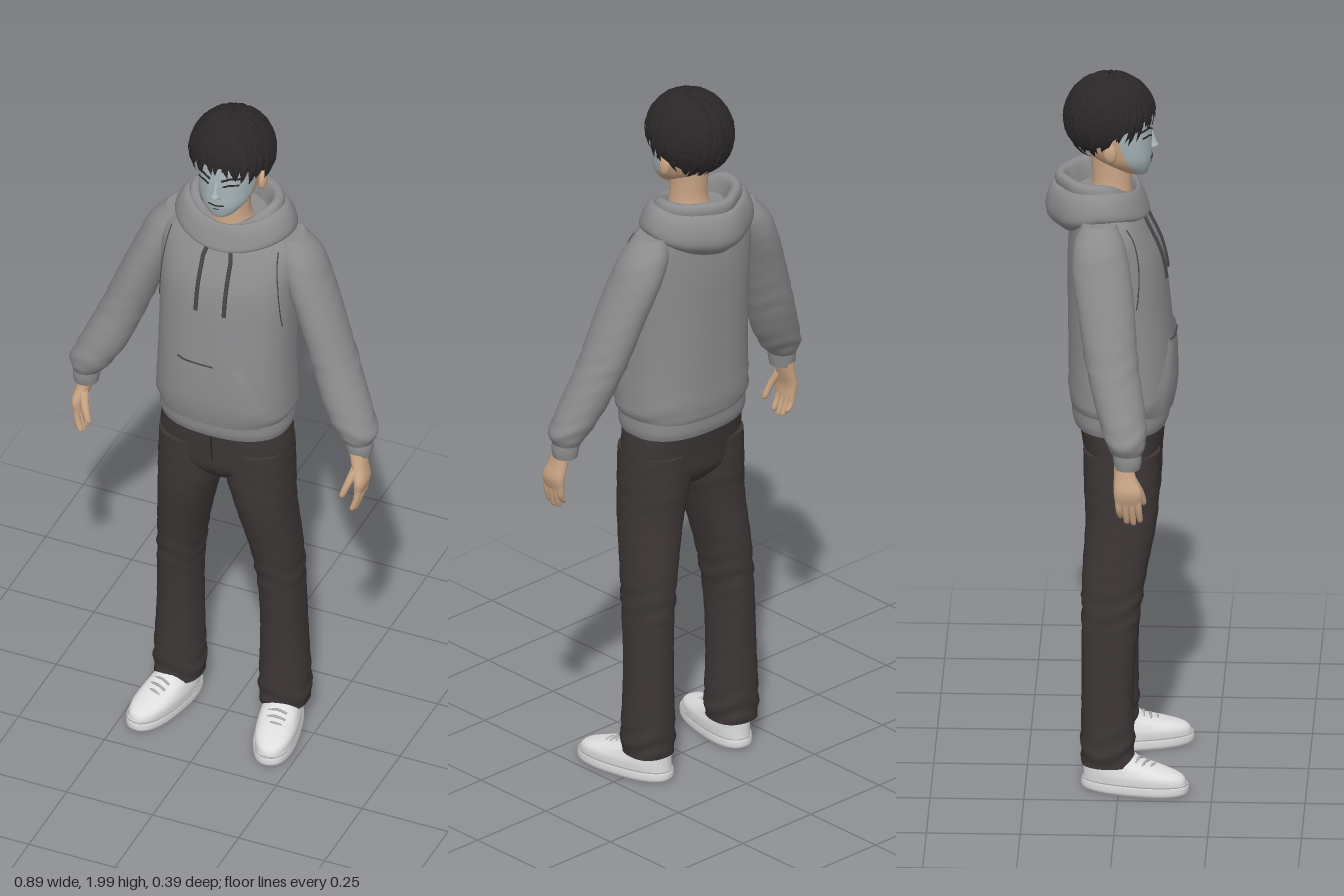
import * as THREE from 'three';
import { mergeGeometries } from 'three/addons/utils/BufferGeometryUtils.js';

const mat = (name, color, side = THREE.FrontSide) => Object.assign(new THREE.MeshStandardMaterial({ color, side }), { name });

// Smooth interpolation through cross-sections [x, y, z, rx, rz]
function refine(sections, steps) {
  const out = [], n = sections.length, at = i => sections[Math.min(n - 1, Math.max(0, i))];
  for (let i = 0; i < n - 1; i++) for (let k = 0; k < steps; k++) {
    const t = k / steps;
    out.push(at(i).map((b, c) => {
      const a = at(i - 1)[c], d = at(i + 1)[c], e = at(i + 2)[c];
      return b + 0.5 * t * (d - a + t * (2 * a - 5 * b + 4 * d - e + t * (3 * (b - d) + e - a)));
    }));
  }
  out.push(sections[n - 1]);
  return out;
}

// Closed skin over stacked oval rings; warp moves a vertex, pick chooses a material by angle and height
function loft(sections, { seg = 32, steps = 4, e = 2, cap = true, warp, pick } = {}) {
  const rows = refine(sections, steps), pos = [], buckets = [[], []];
  rows.forEach(([x, y, z, rx, rz], i) => {
    for (let j = 0; j < seg; j++) {
      const a = j / seg * Math.PI * 2, c = Math.cos(a), s = Math.sin(a);
      const p = new THREE.Vector3(Math.sign(c) * Math.abs(c) ** (2 / e) * rx, y, Math.sign(s) * Math.abs(s) ** (2 / e) * rz);
      if (warp) warp(p, a, i / (rows.length - 1));
      pos.push(p.x + x, p.y, p.z + z);
    }
  });
  for (let i = 0; i < rows.length - 1; i++) for (let j = 0; j < seg; j++) {
    const a = i * seg + j, b = i * seg + (j + 1) % seg;
    const g = pick ? pick((j + 0.5) / seg * Math.PI * 2, rows[i][1]) : 0;
    buckets[g].push(a, a + seg, b, b, a + seg, b + seg);
  }
  if (cap) [0, rows.length - 1].forEach((r, top) => {
    const start = pos.length / 3;
    pos.push(rows[r][0], rows[r][1], rows[r][2], ...pos.slice(r * seg * 3, (r + 1) * seg * 3));
    for (let j = 0; j < seg; j++) {
      const a = start + 1 + j, b = start + 1 + (j + 1) % seg;
      buckets[0].push(start, ...(top ? [b, a] : [a, b]));
    }
  });
  const g = new THREE.BufferGeometry();
  g.setAttribute('position', new THREE.Float32BufferAttribute(pos, 3));
  g.setIndex(buckets.flat());
  if (pick) { g.addGroup(0, buckets[0].length, 0); g.addGroup(buckets[0].length, buckets[1].length, 1); }
  g.computeVertexNormals();
  return g;
}

// Cloth folds: slanted ripples, strongest near the given heights
const folds = (amp, spots) => (p, a) => {
  const w = spots.reduce((m, [y, r]) => Math.max(m, Math.exp(-(((p.y - y) / r) ** 2))), 0.15);
  const k = 1 + amp * w * Math.sin(p.y * 110 + 2.2 * Math.sin(a * 2 + 1));
  p.x *= k; p.z *= k;
};

export function createModel() {
  const model = new THREE.Group();
  const cloth = mat('hoodie grey', 0x8c8c8e, THREE.DoubleSide), cord = mat('seam and cord grey', 0x48484a);
  const denim = mat('trouser charcoal', 0x3d3736), seam = mat('trouser seam', 0x2a2626);
  const skin = mat('skin', 0xcba686), face = mat('face pale blue grey', 0xa9b6ba);
  const dark = mat('hair black', 0x2b2728, THREE.DoubleSide);
  const white = mat('shoe white', 0xdedede), lace = mat('shoe trim', 0xaeaeae);
  const add = (name, geo, material, parent = model) => {
    const m = new THREE.Mesh(geo, material);
    m.name = name; parent.add(m);
    return m;
  };
  const tube = (pts, r, n = 16) => new THREE.TubeGeometry(new THREE.CatmullRomCurve3(pts), n, r, 6);
  const ray = new THREE.Raycaster();
  const onFront = (mesh, x, y, lift) => {
    ray.set(new THREE.Vector3(x, y, 1), new THREE.Vector3(0, 0, -1));
    const hit = ray.intersectObject(mesh)[0];
    return new THREE.Vector3(x, y, (hit ? hit.point.z : 0) + lift);
  };
  // Thin line laid on the front of a mesh through [x, y] points
  const line = (name, mesh, pts, r, material) => {
    const path = [];
    for (let i = 0; i < pts.length - 1; i++) for (let k = 0; k < 5; k++) {
      const t = k / 5, [a, b] = [pts[i], pts[i + 1]];
      path.push(onFront(mesh, a[0] + (b[0] - a[0]) * t, a[1] + (b[1] - a[1]) * t, r * 0.4));
    }
    path.push(onFront(mesh, ...pts[pts.length - 1], r * 0.4));
    return add(name, tube(path, r, path.length * 2), material);
  };

  // Hoodie body and hem
  const torso = add('hoodieBody', loft([
    [0, 1.05, 0, 0.178, 0.128], [0, 1.09, 0.002, 0.192, 0.141], [0, 1.2, 0.002, 0.188, 0.142], [0, 1.35, -0.006, 0.187, 0.136],
    [0, 1.48, -0.016, 0.19, 0.127], [0, 1.57, -0.032, 0.192, 0.105], [0, 1.62, -0.045, 0.165, 0.09], [0, 1.655, -0.05, 0.12, 0.075],
  ], { seg: 48, e: 2.4, warp: folds(0.012, [[1.1, 0.06]]) }), cloth);
  add('hoodieHem', loft([[0, 1.01, 0, 0.179, 0.124], [0, 1.03, 0, 0.184, 0.13], [0, 1.062, 0, 0.184, 0.132]], { seg: 48, e: 2.4 }), cloth);

  // Front pocket draped over the body
  const pos = [], idx = [], rows = [[1.06, 0.155], [1.09, 0.162], [1.125, 0.163], [1.16, 0.143], [1.2, 0.122], [1.23, 0.106], [1.262, 0.09]], cols = 14;
  rows.forEach(([y, w]) => {
    for (let j = 0; j <= cols; j++) pos.push(...onFront(torso, (j / cols * 2 - 1) * w, y, j % cols ? 0.007 : 0.001).toArray());
  });
  for (let i = 0; i < rows.length - 1; i++) for (let j = 0; j < cols; j++) {
    const a = i * (cols + 1) + j, b = a + cols + 1;
    idx.push(a, a + 1, b, b, a + 1, b + 1);
  }
  const pocket = new THREE.BufferGeometry();
  pocket.setAttribute('position', new THREE.Float32BufferAttribute(pos, 3));
  pocket.setIndex(idx);
  pocket.computeVertexNormals();
  const pocketMesh = add('frontPocket', pocket, cloth);
  line('pocketTopSeam', pocketMesh, [[-0.088, 1.26], [0.02, 1.26]], 0.0025, cord);

  // Hood: thick folded roll, low at the throat and drooping at the back
  const hoodWarp = (drop, droop) => (p, a, t) => {
    const s = Math.sin(a), f = Math.max(0, s) ** 2.5, k = Math.max(0, -s);
    p.y -= drop * f * Math.sin(Math.PI * Math.min(1, t * 1.1)) + droop * k * (1 - t);
    if (k > 0.9) p.z -= 0.12 * (k - 0.9);
  };
  add('hoodOuter', loft([
    [0, 1.6, -0.05, 0.135, 0.1], [0, 1.625, -0.055, 0.168, 0.13], [0, 1.66, -0.058, 0.163, 0.13],
    [0, 1.69, -0.058, 0.143, 0.116], [0, 1.685, -0.055, 0.118, 0.098], [0, 1.62, -0.05, 0.1, 0.08],
  ], { seg: 48, cap: false, warp: hoodWarp(0.045, 0.045) }), cloth);
  add('hoodInner', loft([
    [0, 1.65, -0.055, 0.125, 0.1], [0, 1.69, -0.06, 0.132, 0.105], [0, 1.71, -0.06, 0.122, 0.097],
    [0, 1.7, -0.055, 0.1, 0.08], [0, 1.62, -0.045, 0.085, 0.068],
  ], { seg: 48, cap: false, warp: hoodWarp(0.085, 0.0) }), cloth);
  for (const s of [-1, 1]) {
    line('drawstring', torso, [[s * 0.03, 1.61], [s * 0.04, 1.57], [s * 0.041, 1.5], [s * 0.041, 1.42]], 0.006, cord);
    line('armholeSeam', torso, [[s * 0.155, 1.6], [s * 0.168, 1.5], [s * 0.178, 1.38]], 0.0018, cord);
  }

  // Trousers
  add('trouserHips', loft([[0, 0.84, 0.005, 0.06, 0.07], [0, 0.88, 0.004, 0.165, 0.098], [0, 0.94, 0.004, 0.185, 0.105], [0, 1.03, 0, 0.177, 0.115]],
    { seg: 48, e: 2.4 }), denim);

  for (const s of [-1, 1]) {
    const m = list => list.map(([x, ...r]) => [x * s, ...r]);
    const side = new THREE.Group();
    side.name = s > 0 ? 'leftLimbs' : 'rightLimbs';
    model.add(side);
    add('trouserLeg', loft(m([
      [0.153, 0.075, -0.03, 0.066, 0.069], [0.153, 0.13, -0.03, 0.069, 0.072], [0.151, 0.3, -0.03, 0.062, 0.07], [0.147, 0.46, -0.024, 0.06, 0.076],
      [0.135, 0.6, -0.014, 0.066, 0.085], [0.112, 0.75, 0.004, 0.079, 0.095], [0.098, 0.85, 0.005, 0.091, 0.101], [0.096, 0.95, 0.005, 0.089, 0.102],
    ]), { steps: 8, e: 2.2, warp: folds(0.045, [[0.13, 0.06], [0.52, 0.06]]) }), denim, side);

    // Sleeve and cuff
    add('sleeve', loft(m([
      [0.395, 1.055, 0.03, 0.038, 0.04], [0.385, 1.09, 0.027, 0.058, 0.055], [0.35, 1.16, 0.012, 0.065, 0.065], [0.305, 1.27, -0.012, 0.063, 0.07],
      [0.256, 1.4, -0.03, 0.062, 0.076], [0.215, 1.5, -0.045, 0.062, 0.078], [0.185, 1.57, -0.052, 0.06, 0.068], [0.16, 1.62, -0.052, 0.038, 0.045],
    ]), { steps: 6, warp: folds(0.035, [[1.1, 0.04], [1.28, 0.05]]) }), cloth, side);
    add('cuff', loft(m([[0.398, 1.015, 0.032, 0.033, 0.034], [0.397, 1.04, 0.032, 0.037, 0.038], [0.392, 1.075, 0.03, 0.037, 0.038]])), cloth, side);

    // Hand with four fingers and a thumb
    const hand = new THREE.Group();
    hand.name = 'hand'; hand.position.z = s * 0.012; side.add(hand);
    add('palm', loft(m([[0.412, 0.915, 0.046, 0.013, 0.034], [0.416, 0.95, 0.046, 0.018, 0.038], [0.406, 0.99, 0.038, 0.02, 0.03], [0.397, 1.03, 0.032, 0.023, 0.024]]),
      { seg: 20, e: 2.3 }), skin, hand);
    for (let i = 0; i < 4; i++) {
      const z = 0.02 + i * 0.0175, tip = [0.872, 0.856, 0.852, 0.86][i];
      add('finger', loft(m([[0.399, tip, z + 0.006, 0.003, 0.003], [0.402, tip + 0.008, z + 0.005, 0.008, 0.008], [0.412, 0.9, z + 0.002, 0.009, 0.009], [0.414, 0.93, z, 0.01, 0.01]]),
        { seg: 10 }), skin, hand);
    }
    add('thumb', loft(m([[0.374, 0.9, 0.086, 0.003, 0.003], [0.376, 0.91, 0.085, 0.009, 0.009], [0.388, 0.945, 0.076, 0.011, 0.011], [0.402, 0.985, 0.056, 0.014, 0.014]]),
      { seg: 10 }), skin, hand);

    // Shoe, toes turned outward
    const shoe = new THREE.Group();
    shoe.name = 'shoe'; shoe.position.set(s * 0.15, 0, -0.03); shoe.rotation.y = s * 0.21; side.add(shoe);
    add('sole', loft([[0, 0, 0.075, 0.055, 0.139], [0, 0.008, 0.075, 0.059, 0.146], [0, 0.026, 0.075, 0.059, 0.146], [0, 0.03, 0.075, 0.055, 0.141]], { e: 2.4 }), white, shoe);
    add('soleLine', loft([[0, 0.026, 0.075, 0.0585, 0.145], [0, 0.03, 0.075, 0.0585, 0.145]], { e: 2.4, steps: 1 }), lace, shoe);
    add('upper', loft([[0, 0.025, 0.074, 0.055, 0.141], [0, 0.048, 0.07, 0.056, 0.136], [0, 0.066, 0.047, 0.052, 0.113], [0, 0.085, 0.014, 0.048, 0.08], [0, 0.115, -0.004, 0.043, 0.063]], { e: 2.3 }), white, shoe);
    for (let i = 0; i < 4; i++) {
      const z = 0.085 + i * 0.019, y = 0.09 - i * 0.008, w = 0.026;
      add('lace', tube([new THREE.Vector3(-w, y - 0.006, z - 0.004), new THREE.Vector3(0, y + 0.001, z), new THREE.Vector3(w, y - 0.006, z + 0.004)], 0.004, 8), lace, shoe);
    }
    add('ear', new THREE.SphereGeometry(1, 14, 10).scale(0.012, 0.03, 0.019).rotateX(-0.2).translate(s * 0.09, 1.795, -0.028), skin);
  }
  add('flySeam', tube([new THREE.Vector3(0, 1.0, 0.114), new THREE.Vector3(0, 0.94, 0.11), new THREE.Vector3(0, 0.9, 0.101)], 0.0025), seam);

  // Neck and head; the front of the head is the pale face
  add('neck', loft([[0, 1.57, -0.035, 0.085, 0.07], [0, 1.64, -0.03, 0.06, 0.06], [0, 1.69, -0.025, 0.05, 0.053], [0, 1.78, -0.03, 0.052, 0.055]]), skin);
  const head = add('head', loft([
    [0, 1.706, 0.05, 0.02, 0.018], [0, 1.718, 0.034, 0.04, 0.04], [0, 1.75, 0.008, 0.067, 0.073], [0, 1.79, -0.012, 0.079, 0.094],
    [0, 1.84, -0.022, 0.085, 0.104], [0, 1.9, -0.03, 0.086, 0.104], [0, 1.95, -0.03, 0.06, 0.075],
  ], { seg: 40, e: 2.15, pick: (a, y) => (Math.sin(a) > 0.15 && y < 1.9 ? 1 : 0) }), [skin, face]);
  add('nose', loft([[0, 1.777, 0.074, 0.012, 0.006], [0, 1.784, 0.081, 0.014, 0.019], [0, 1.8, 0.08, 0.009, 0.013], [0, 1.835, 0.075, 0.006, 0.007]], { seg: 12 }), face);
  line('mouth', head, [[-0.022, 1.755], [0, 1.753], [0.022, 1.755]], 0.0022, dark);
  line('lowerLip', head, [[-0.008, 1.74], [0.008, 1.74]], 0.0012, dark);
  for (const s of [-1, 1]) {
    line('eye', head, [[s * 0.02, 1.82], [s * 0.036, 1.826], [s * 0.058, 1.823]], 0.0025, dark);
    line('eyebrow', head, [[s * 0.016, 1.838], [s * 0.038, 1.847], [s * 0.064, 1.842]], 0.003, dark);
  }

  // Hair: a cap with layered pointed locks sweeping out from the crown
  let seed = 7;
  const rnd = () => (seed = (seed * 16807) % 2147483647) / 2147483647;
  const hairPoint = (az, s, k) => {
    const f = Math.sin(az), end = (f > 0 ? 112 - 30 * f ** 0.7 : 112 + 30 * -f) * Math.PI / 180, t = s * end;
    return new THREE.Vector3(Math.cos(az) * Math.sin(t) * 0.112 * k, 1.866 + Math.cos(t) * 0.118 * k, -0.03 + f * Math.sin(t) * 0.12 * k);
  };
  const cap = new THREE.PlaneGeometry(1, 1, 40, 14), cp = cap.attributes.position;
  for (let i = 0; i < cp.count; i++) {
    const p = hairPoint((cp.getX(i) + 0.5) * Math.PI * 2, 0.5 - cp.getY(i), 0.97);
    cp.setXYZ(i, p.x, p.y, p.z);
  }
  cap.setIndex(Array.from(cap.index.array).reverse());
  cap.computeVertexNormals();
  add('hairCap', cap, dark);
  const lock = (az, s0, s1, w, curl, flare) => {
    const v = [], ix = [], n = 6;
    for (let i = 0; i <= n; i++) {
      const t = i / n, a = az + curl * t * t, s = s0 + (s1 - s0) * t, k = 0.97 + 0.03 * Math.sin(Math.PI * t) + flare * t * t;
      const half = w * Math.sin(Math.PI * (0.2 + 0.8 * t)), c = hairPoint(a, s, k);
      const tx = -Math.sin(a) * half, tz = Math.cos(a) * half;
      const ridge = hairPoint(a, s, k + 0.075 * (1 - t));
      v.push(c.x - tx, c.y, c.z - tz, ridge.x, ridge.y, ridge.z, c.x + tx, c.y, c.z + tz);
      if (i) for (let j = 0; j < 2; j++) {
        const p = (i - 1) * 3 + j;
        ix.push(p, p + 1, p + 3, p + 1, p + 4, p + 3);
      }
    }
    const g = new THREE.BufferGeometry();
    g.setAttribute('position', new THREE.Float32BufferAttribute(v, 3));
    g.setIndex(ix);
    const flat = g.toNonIndexed();
    flat.computeVertexNormals();
    return flat;
  };
  const locks = [];
  for (const [count, s0, s1, w] of [[14, 0.02, 0.5, 0.018], [26, 0.18, 0.72, 0.018], [34, 0.38, 0.92, 0.017], [42, 0.58, 1.08, 0.014]])
    for (let i = 0; i < count; i++)
      locks.push(lock((i + rnd() * 0.6) / count * Math.PI * 2, s0 + rnd() * 0.06, s1 + (rnd() - 0.5) * 0.14, w * (0.8 + rnd() * 0.4), (rnd() - 0.35) * 0.5, 0.02 + rnd() * 0.06));
  // Fringe locks falling over the forehead
  for (let i = 0; i < 11; i++)
    locks.push(lock(Math.PI * (0.2 + i * 0.06), 0.5, 1.16 + rnd() * 0.16, 0.014, (rnd() - 0.5) * 0.3, 0.0));
  add('hairLocks', mergeGeometries(locks), dark);
  return model;
}
